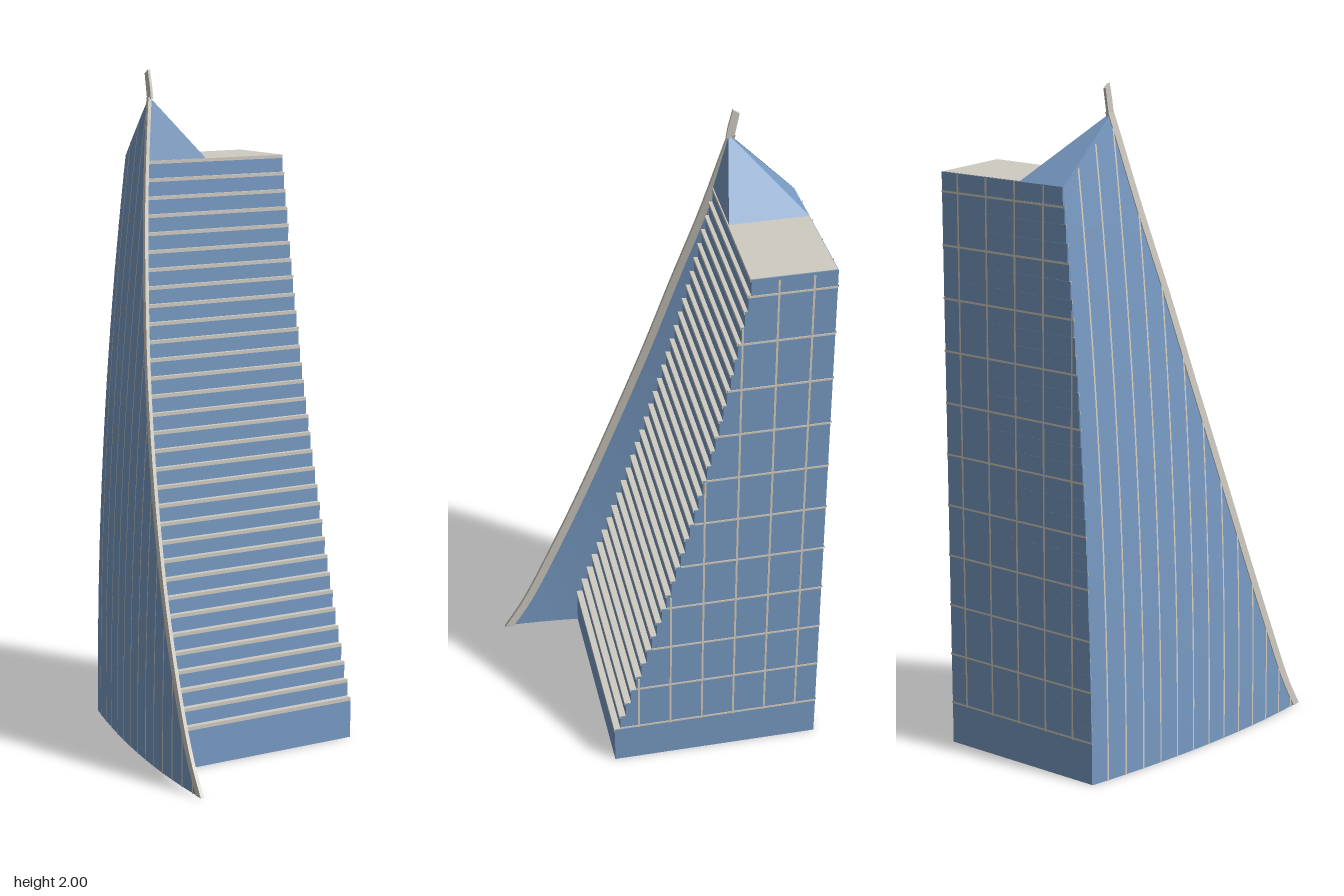
import * as THREE from 'three';
import { ConvexGeometry } from 'three/addons/geometries/ConvexGeometry.js';

const BASE = 0.125, ROOF = 1.735, PEAK = 1.92, FLOORS = 31;
const RIGHT = 0.335, BACK = -0.436;
const STEP = (ROOF - BASE) / FLOORS;

// Front edge of the sail wall: height -> z
const edgePoints = [[0, 0.435], [0.1, 0.375], [0.3, 0.285], [0.6, 0.167], [1.08, 0.004],
  [1.4, -0.09], [1.65, -0.162], [PEAK, -0.228]];
const edgeCurve = new THREE.CatmullRomCurve3(edgePoints.map(([y, z]) => new THREE.Vector3(0, y, z)));
const edgeTable = edgeCurve.getPoints(200);
function edgeZ(y) {
  let i = 1;
  while (i < 200 && edgeTable[i].y < y) i++;
  const a = edgeTable[i - 1], b = edgeTable[i];
  return a.z + (b.z - a.z) * (y - a.y) / (b.y - a.y);
}

// Curved, inward leaning sail surface: (y, z) -> x
function sailX(y, z) {
  const s = Math.max(0, (0.435 - z) / 0.87);
  return -0.335 + 0.145 * Math.pow(s, 1.75) + 0.036 * y * y;
}
const sailBackZ = y => BACK + 0.0055 * y * y;

// Stepped front face of the tower
const frontAt = t => 0.195 - 0.39 * (1.4 * t - 0.4 * t * t);
function frontZ(y) {
  if (y <= BASE) return 0.195;
  return frontAt(Math.min(FLOORS, Math.floor((y - BASE) / STEP + 1e-6) + 1) / FLOORS);
}

// Slightly slanted back face
function backZ(x, y) {
  const left = sailX(y, sailBackZ(y));
  return BACK + (sailBackZ(y) - BACK) * (RIGHT - x) / (RIGHT - left);
}

// Grid surface from a function (u, v) -> [x, y, z]
function loft(nu, nv, fn, flat = false) {
  const pos = [], index = [];
  for (let j = 0; j <= nv; j++) for (let i = 0; i <= nu; i++) pos.push(...fn(i / nu, j / nv));
  for (let j = 0; j < nv; j++) for (let i = 0; i < nu; i++) {
    const a = j * (nu + 1) + i, b = a + 1, c = a + nu + 1, d = c + 1;
    index.push(a, b, d, a, d, c);
  }
  let g = new THREE.BufferGeometry();
  g.setAttribute('position', new THREE.Float32BufferAttribute(pos, 3));
  g.setIndex(index);
  if (flat) g = g.toNonIndexed();
  g.computeVertexNormals();
  return g;
}

// Plan outline of the tower at height y, as [x, z]
function outline(y, zFront, inset = 0) {
  const pts = [[RIGHT - inset, BACK + inset], [RIGHT - inset, zFront]];
  const zb = sailBackZ(y) + inset;
  for (let i = 0; i <= 8; i++) {
    const z = zFront + (zb - zFront) * i / 8;
    pts.push([sailX(y, z) + 0.003, z]);
  }
  return pts;
}
function prism(pts, y, height) {
  const shape = new THREE.Shape(pts.map(([x, z]) => new THREE.Vector2(x, -z)));
  const g = new THREE.ExtrudeGeometry(shape, { depth: height, bevelEnabled: false });
  g.rotateX(-Math.PI / 2);
  g.translate(0, y, 0);
  return g;
}

export function createModel() {
  const model = new THREE.Group();
  model.name = 'tower';
  const material = (name, color) =>
    new THREE.MeshStandardMaterial({ name, color, side: THREE.DoubleSide });
  const glass = material('blue glass', 0x789bc4);
  const stone = material('pale stone', 0xcfcbc2);
  const trim = material('cream trim', 0xd6cdbd);
  const add = (name, geometry, mat, parent = model) => {
    const mesh = new THREE.Mesh(geometry, mat);
    mesh.name = name;
    parent.add(mesh);
    return mesh;
  };
  const group = name => {
    const g = new THREE.Group();
    g.name = name;
    model.add(g);
    return g;
  };

  // Base: walls open below, closed by a deck
  const ring = outline(0, 0.195);
  ring.push(ring[0]);
  add('baseWalls', loft(ring.length - 1, 1, (u, v) => {
    const [x, z] = ring[Math.round(u * (ring.length - 1))];
    return [x, v * BASE, z];
  }, true), glass);
  add('baseDeck', prism(outline(BASE, 0.197, 0.002), BASE - 0.01, 0.011), stone);

  // Stepped floors, each with a stone ledge
  const floors = group('floors');
  for (let i = 0; i < FLOORS; i++) {
    const y0 = BASE + i * STEP, y1 = y0 + STEP, z = frontAt((i + 1) / FLOORS);
    add('floor', prism(outline(y1, z), y0, STEP), glass, floors);
    add('ledge', prism(outline(y1, z + 0.003, 0.002), y1 - 0.009, 0.01), stone, floors);
  }

  // Facade grid on the right side and the back
  const grid = group('facadeGrid');
  const W = 0.003;
  for (let k = 0; k < 11; k++) {
    const y = 0.13 + 0.155 * k, z1 = frontZ(y);
    const bar = add('sideBar', new THREE.BoxGeometry(0.004, 2 * W, z1 - BACK), trim, grid);
    bar.position.set(RIGHT, y, (z1 + BACK) / 2);
    const left = sailX(y, sailBackZ(y));
    add('backBar', loft(1, 1, (u, v) => {
      const x = RIGHT + (left - RIGHT) * u;
      return [x, y + (v * 2 - 1) * W, backZ(x, y) - 0.003];
    }), trim, grid);
  }
  for (let j = 0; j < 6; j++) {
    const z = -0.37 + 0.098 * j;
    let top = BASE;
    while (top < ROOF - 0.01 && frontZ(top + 0.01) > z + W) top += 0.01;
    const post = add('sidePost', new THREE.BoxGeometry(0.004, top - BASE, 2 * W), trim, grid);
    post.position.set(RIGHT, (top + BASE) / 2, z);
  }
  for (let j = 0; j < 5; j++) {
    const x = 0.277 - 0.099 * j;
    let top = ROOF;
    while (sailX(top, sailBackZ(top)) > x - W) top -= 0.01;
    add('backPost', loft(1, 8, (u, v) => {
      const y = BASE + (top - BASE) * v;
      return [x + (u * 2 - 1) * W, y, backZ(x, y) - 0.003];
    }), trim, grid);
  }

  // Curved sail wall
  add('sailWall', loft(24, 48, (u, v) => {
    const yb = ROOF * v, yf = PEAK * v;
    const y = yb + (yf - yb) * u;
    const z = sailBackZ(yb) + (edgeZ(yf) - 0.004 - sailBackZ(yb)) * u;
    return [sailX(y, z), y, z];
  }), glass);

  // Upright fins on the outside of the sail
  const fins = group('sailFins');
  for (let j = 0; j < 13; j++) {
    const z0 = -0.385 + 0.0645 * j;
    const zAt = y => z0 + 0.0055 * y * y;
    let top = 0;
    while (zAt(top) < edgeZ(top) - 0.012 && top < ROOF + (zAt(top) + 0.418) * 0.974 - 0.01) top += 0.01;
    if (top < 0.03) continue;
    add('fin', loft(1, 16, (u, v) => {
      const y = top * v, z = zAt(y) + (u * 2 - 1) * 0.0025;
      return [sailX(y, z) - 0.003, y, z];
    }), trim, fins);
  }

  // Stone rim along the front edge of the sail
  const section = [[-0.003, 0], [0.008, 0], [0.008, -1], [-0.003, -1], [-0.003, 0]];
  add('sailRim', loft(4, 48, (u, v) => {
    const y = PEAK * v, [dx, dz] = section[Math.round(u * 4)];
    const z = edgeZ(y) + dz * (0.028 - 0.008 * v);
    return [sailX(y, z) + dx, y, z];
  }, true), stone);

  // Faceted glass crown
  const p = (x, y, z) => new THREE.Vector3(x, y, z);
  add('crown', new ConvexGeometry([
    p(-0.11, PEAK, -0.23), p(-0.086, ROOF, -0.419), p(0.063, ROOF, -0.426),
    p(0.063, ROOF, -0.195), p(-0.138, ROOF, -0.195),
  ]), glass);

  // Spire blade on the peak
  const blade = new THREE.Shape([[-0.222, 1.915], [-0.228, 1.95], [-0.24, 2.0], [-0.259, 1.988],
    [-0.252, 1.95], [-0.245, 1.912]].map(([z, y]) => new THREE.Vector2(z, y)));
  const spire = new THREE.ExtrudeGeometry(blade, { depth: 0.008, bevelEnabled: false });
  spire.rotateY(-Math.PI / 2);
  add('spire', spire, stone).position.x = -0.102;

  return model;
}
